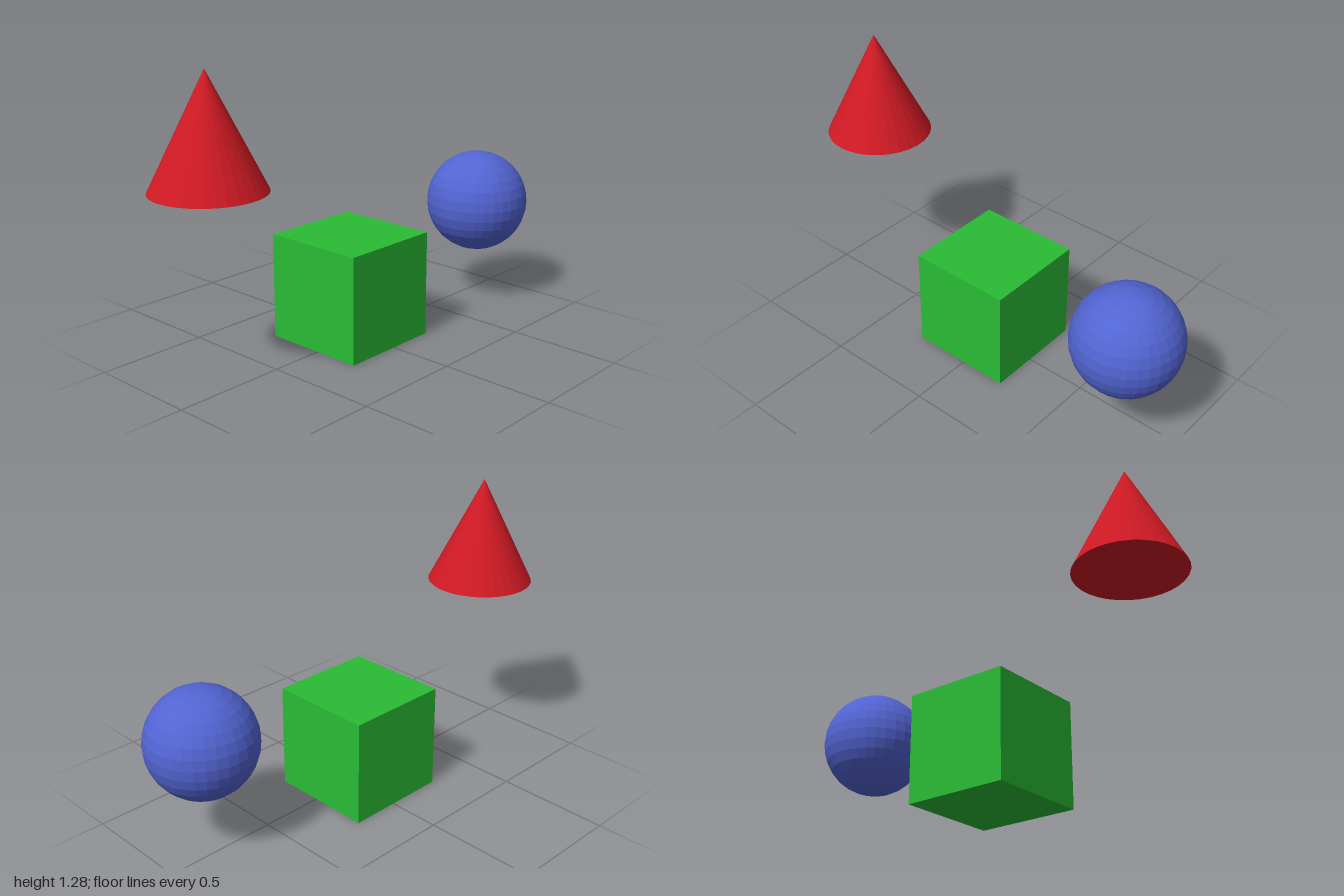
import * as THREE from 'three';

const SIZE = 0.474; // shared width of all three solids
const R = SIZE / 2;

export function createModel() {
  const group = new THREE.Group();

  const add = (name, geometry, color, x, y, z) => {
    const material = new THREE.MeshStandardMaterial({ color, flatShading: true });
    const mesh = new THREE.Mesh(geometry, material);
    mesh.name = name;
    mesh.position.set(x, y, z);
    group.add(mesh);
  };

  // Cube resting on the ground
  add('cube', new THREE.BoxGeometry(SIZE, SIZE, SIZE), 0x2abc35, -0.027, R, 0.021);

  // Cone floating in front
  add('cone', new THREE.ConeGeometry(R, SIZE, 32), 0xd11a24, -0.076, 1.039, 0.763);

  // Faceted sphere floating behind
  add('sphere', new THREE.SphereGeometry(R, 32, 16), 0x5264d2, 0.072, 0.482, -0.763);

  return group;
}
